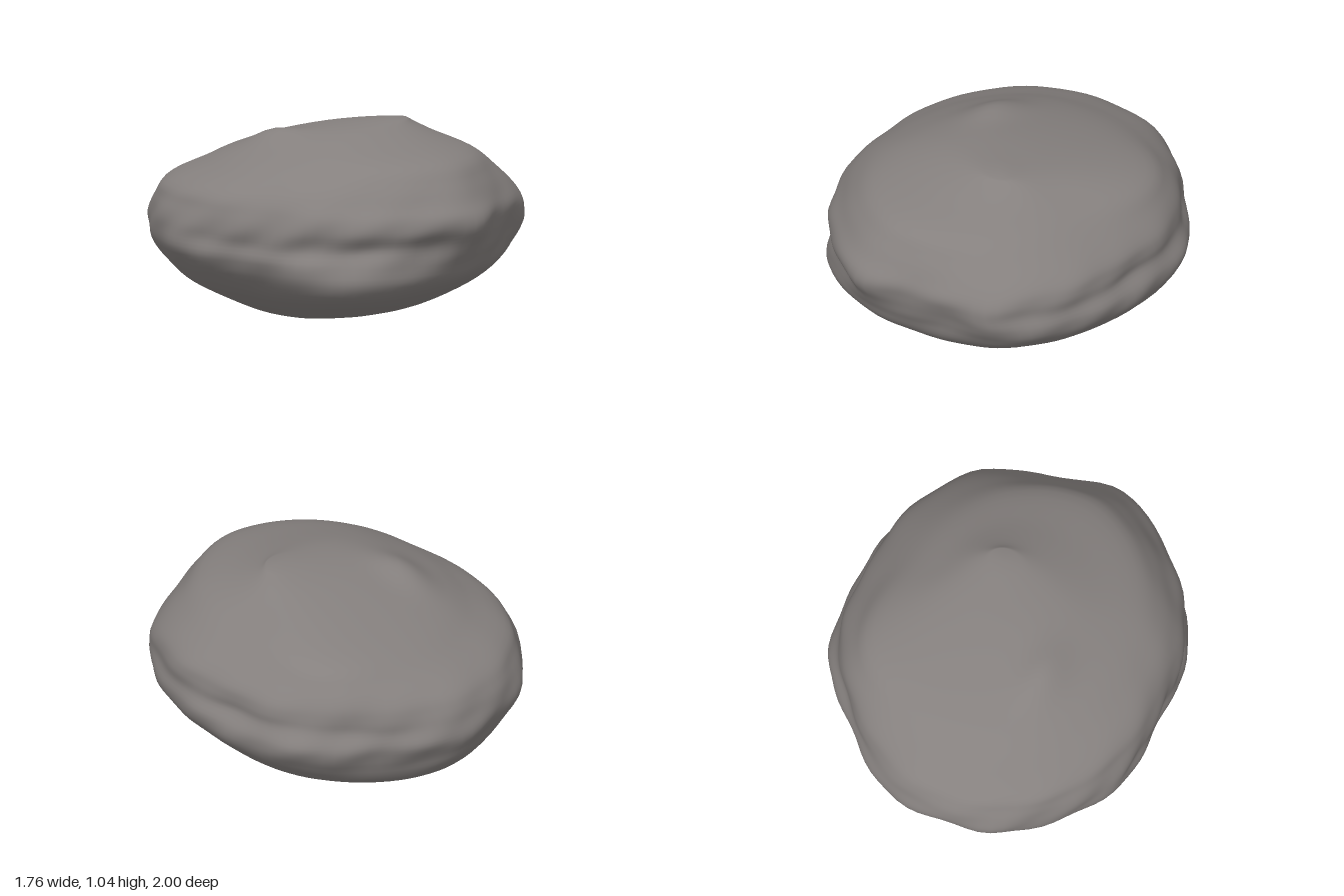
import * as THREE from 'three';

// Height levels of the boulder: y, left/right limits in x, back/front limits in z,
// then extra fullness of the back corner (+x, -z) and of the front corner (-x, +z)
const LEVELS = [
  [0.0, -0.13, -0.03, -0.25, -0.08, 0, 0],
  [0.03, -0.27, 0.17, -0.43, 0.1, 0, 0.12],
  [0.1, -0.48, 0.38, -0.57, 0.45, 0, 0.2],
  [0.2, -0.67, 0.63, -0.81, 0.68, 0, 0.22],
  [0.3, -0.79, 0.76, -0.91, 0.84, 0, 0.14],
  [0.4, -0.87, 0.85, -0.96, 0.91, 0, 0.05],
  [0.49, -0.875, 0.87, -1.0, 0.95, 0, 0],
  [0.57, -0.87, 0.84, -0.985, 0.99, 0, 0],
  [0.64, -0.85, 0.835, -0.96, 0.985, 0, 0],
  [0.71, -0.81, 0.81, -0.9, 0.93, 0.02, 0],
  [0.8, -0.72, 0.71, -0.76, 0.86, 0.1, 0],
  [0.89, -0.55, 0.58, -0.55, 0.76, 0.23, 0.02],
  [0.96, -0.39, 0.44, -0.31, 0.52, 0.2, 0.02],
  [1.01, -0.2, 0.34, -0.08, 0.36, 0.08, 0],
  [1.04, 0.08, 0.26, 0.14, 0.28, 0, 0],
];

// Widest plan outline: radius every 15 degrees, from the front (+z) towards +x
const OUTLINE = [
  1.0, 0.945, 0.93, 0.96, 0.93, 0.9, 0.87, 0.87, 0.9, 0.91, 0.91, 0.95,
  1.0, 0.99, 0.99, 0.97, 0.94, 0.91, 0.87, 0.85, 0.9, 0.915, 0.94, 0.965,
];
const HALF_WIDTH = 0.875;

const AROUND = 96, UP = 56;

const bell = (d, width) => Math.exp(-(d * d) / (width * width));

// Bell around a compass direction given in degrees
function bellAt(a, degrees, width) {
  const d = a - THREE.MathUtils.degToRad(degrees);
  return bell(Math.atan2(Math.sin(d), Math.cos(d)), THREE.MathUtils.degToRad(width));
}

// Smooth periodic lookup in the outline
function outlineRadius(a) {
  const n = OUTLINE.length, f = (a / (Math.PI * 2)) * n, i = Math.floor(f), t = f - i;
  const p = (k) => OUTLINE[(i + k + n) % n];
  const [p0, p1, p2, p3] = [p(-1), p(0), p(1), p(2)];
  return p1 + 0.5 * t * (p2 - p0 + t * (2 * p0 - 5 * p1 + 4 * p2 - p3 + t * (3 * (p1 - p2) + p3 - p0)));
}

// Craggy outline at the widest part, rounder towards the base and crown
function planRadius(a, y) {
  const ellipse = 1 / Math.hypot(Math.sin(a) / HALF_WIDTH, Math.cos(a));
  return THREE.MathUtils.lerp(ellipse, outlineRadius(a), bell(y - 0.54, 0.28));
}

// Tilted strata, chipped edges and the ledge below the top slab
function weathering(a, y) {
  const side = Math.sin(a), front = Math.cos(a);
  const belt = bell(y - 0.52, 0.2);
  const seam = 0.53 + 0.05 * side + 0.03 * Math.sin(3 * a + 1);
  const shelf = 0.38 + 0.05 * front * side + 0.02 * Math.sin(4 * a);
  const ledge = bellAt(a, 230, 50);
  return 1
    - 0.007 * bell(y - seam, 0.035) * (0.6 + 0.4 * Math.sin(2 * a + 4))
    - 0.007 * bell(y - shelf, 0.035) * (0.5 + 0.5 * Math.sin(3 * a))
    + ledge * (0.025 * bell(y - 0.72, 0.05) - 0.035 * bell(y - 0.81, 0.04))
    + belt * (0.006 * Math.sin(9 * a + 13 * y) + 0.006 * Math.sin(17 * a - 21 * y))
    + 0.005 * Math.sin(5 * a - 6 * y);
}

// Low raised slab on the top
function topRelief(x, y, z) {
  return 0.045 * bell(x + 0.33, 0.11) * bell(z + 0.16, 0.17) * THREE.MathUtils.smoothstep(y, 0.6, 0.8);
}

// Smooth curve through three values of every level
const levelCurve = (pick) =>
  new THREE.CatmullRomCurve3(LEVELS.map((l) => new THREE.Vector3(...pick(l))), false, 'catmullrom');

function boulderGeometry() {
  const centres = levelCurve(([y, x0, x1, z0, z1]) => [(x0 + x1) / 2, y, (z0 + z1) / 2]);
  const sizes = levelCurve(([, x0, x1, z0, z1]) => [(x1 - x0) / 2, 0, (z1 - z0) / 2]);
  const corners = levelCurve(([, , , , , back, front]) => [back, front, 0]);
  const pos = [], index = [];

  // Rings from the base to the crown
  for (let j = 0; j <= UP; j++) {
    const c = centres.getPoint(j / UP), h = sizes.getPoint(j / UP), k = corners.getPoint(j / UP);
    for (let i = 0; i < AROUND; i++) {
      const a = (i / AROUND) * Math.PI * 2;
      const corner = k.x * bellAt(a, 140, 28) + k.y * bellAt(a, 322, 28);
      const r = (planRadius(a, c.y) + corner) * weathering(a, c.y);
      const x = c.x + (Math.sin(a) * r * h.x) / HALF_WIDTH;
      const z = c.z + Math.cos(a) * r * h.z;
      pos.push(x, Math.max(0, c.y) + topRelief(x, c.y, z), z);
    }
  }
  for (let j = 0; j < UP; j++) {
    for (let i = 0; i < AROUND; i++) {
      const a = j * AROUND + i, b = j * AROUND + ((i + 1) % AROUND);
      index.push(a, b, b + AROUND, a, b + AROUND, a + AROUND);
    }
  }

  // Close the base and the crown
  const base = pos.length / 3, crown = base + 1, last = UP * AROUND;
  const c0 = centres.getPoint(0), c1 = centres.getPoint(1);
  pos.push(c0.x, 0, c0.z, c1.x, c1.y + 0.005, c1.z);
  for (let i = 0; i < AROUND; i++) {
    const k = (i + 1) % AROUND;
    index.push(base, k, i, crown, last + i, last + k);
  }

  const geometry = new THREE.BufferGeometry();
  geometry.setAttribute('position', new THREE.Float32BufferAttribute(pos, 3));
  geometry.setIndex(index);
  geometry.computeVertexNormals();
  return geometry;
}

export function createModel() {
  const group = new THREE.Group();
  group.name = 'rock';
  const stone = new THREE.MeshStandardMaterial({ color: 0x85807e });
  stone.name = 'warm grey stone';
  const boulder = new THREE.Mesh(boulderGeometry(), stone);
  boulder.name = 'boulder';
  group.add(boulder);
  return group;
}
